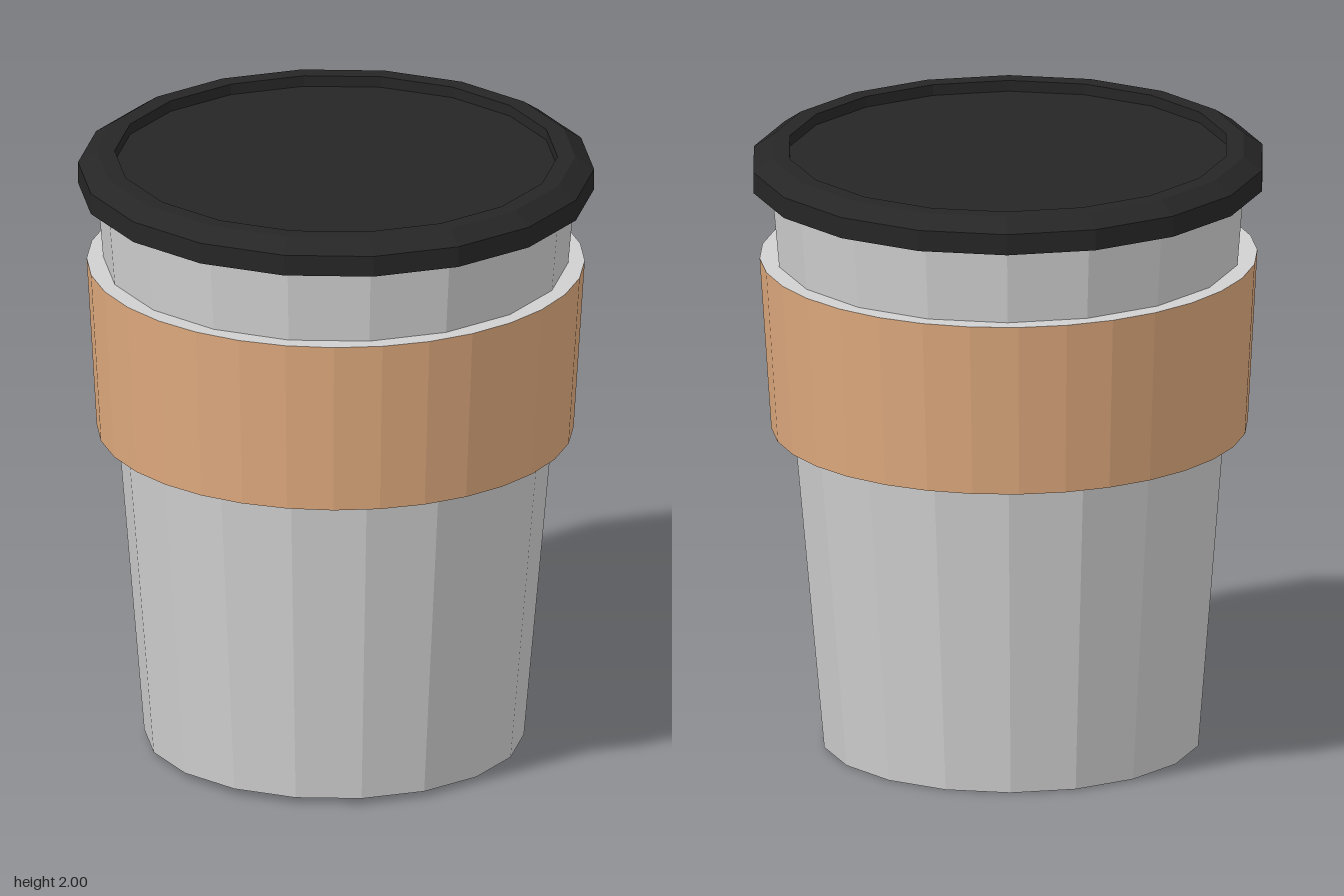
import * as THREE from 'three';

const grey = new THREE.MeshStandardMaterial({ color: 0xd0d0d0 });
grey.name = 'cup grey';
const tan = new THREE.MeshStandardMaterial({ color: 0xdfaa7e });
tan.name = 'cardboard tan';
const black = new THREE.MeshStandardMaterial({ color: 0x262626 });
black.name = 'lid black';

// Faceted surface of revolution; the profile runs outward along the bottom, up, then inward
function turned(name, profile, sides, material) {
  const points = profile.map(([r, y]) => new THREE.Vector2(r, y));
  const geometry = new THREE.LatheGeometry(points, sides).toNonIndexed();
  geometry.computeVertexNormals();
  const mesh = new THREE.Mesh(geometry, material);
  mesh.name = name;
  return mesh;
}

export function createModel() {
  const model = new THREE.Group();
  model.name = 'takeawayCup';
  const cup = new THREE.Group();
  cup.name = 'tiltedCup';
  model.add(cup);

  // Tapered cup with a closed bottom
  cup.add(turned('cupBody', [[0, 0], [0.607, 0], [0.766, 1.88]], 18, grey));

  // Rounder sleeve, with grey edges above and below
  cup.add(turned('sleeve', [[0.762, 1.046], [0.796, 1.615]], 32, tan));
  cup.add(turned('sleeveLowerEdge', [[0.66, 1.046], [0.762, 1.046]], 32, grey));
  cup.add(turned('sleeveUpperEdge', [[0.796, 1.615], [0.7, 1.615]], 32, grey));

  // Lid with a bevelled shoulder, flat rim and sunken top
  cup.add(turned('lid', [
    [0.825, 1.866], [0.825, 1.935], [0.765, 1.976],
    [0.708, 1.976], [0.708, 1.94], [0, 1.94],
  ], 18, black));
  cup.add(turned('lidUnderside', [[0.7, 1.866], [0.825, 1.866]], 18, grey));

  // The whole cup leans back by one degree
  const degree = Math.PI / 180;
  cup.rotation.set(-degree, -degree, 0);
  cup.position.set(0, 0.0106, 0.04);
  return model;
}
